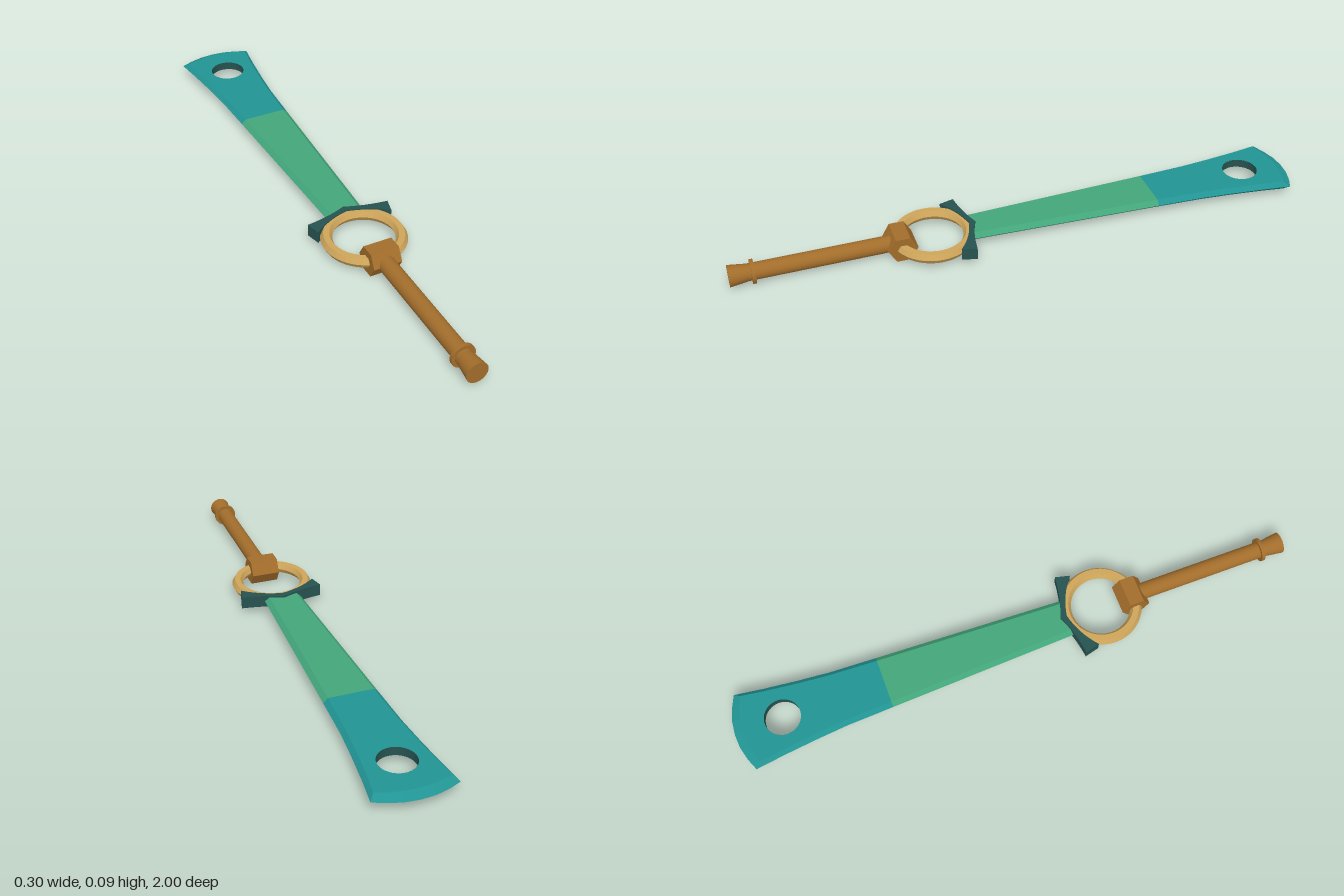
import * as THREE from 'three';

const MID = 0.043; // height of the weapon's centre plane

const mat = (name, color, extra = {}) => {
  const m = new THREE.MeshStandardMaterial({ color, ...extra });
  m.name = name;
  return m;
};

export function createModel() {
  const group = new THREE.Group();
  const green = mat('blade green', 0x42a57a);
  const teal = mat('blade teal', 0x219493);
  const dark = mat('dark teal', 0x26524f, { side: THREE.DoubleSide });
  const brown = mat('grip brown', 0xa26d2b);
  const gold = mat('ring gold', 0xcda45a, { flatShading: true });

  const add = (name, geometry, material, y = MID, z = 0) => {
    const mesh = new THREE.Mesh(geometry, material);
    mesh.name = name;
    mesh.position.set(0, y, z);
    group.add(mesh);
    return mesh;
  };

  // Blade section: flat faces above and below, bevelled to a sharp edge.
  // Each row is [edge x, edge s, flat x, flat s], where s runs towards -z.
  const H = 0.015;
  const bladePart = (name, rows, material, hole) => {
    const left = rows.filter(r => r[0] > 0).reverse().map(r => [-r[0], r[1], -r[2], r[3]]);
    const loop = [...rows, ...left];
    const shape = new THREE.Shape(loop.map(r => new THREE.Vector2(r[2], r[3])));
    if (hole) shape.holes.push(new THREE.Path().absarc(0, hole.s, hole.r, 0, Math.PI * 2, true));
    const flat = new THREE.ShapeGeometry(shape, 24).rotateX(-Math.PI / 2);
    add(name + 'Top', flat, material, MID + H);
    add(name + 'Bottom', flat.clone().scale(1, -1, 1), material, MID - H);
    const below = group.children[group.children.length - 1].geometry;
    const idx = below.index.array;
    for (let i = 0; i < idx.length; i += 3) [idx[i], idx[i + 1]] = [idx[i + 1], idx[i]];
    below.computeVertexNormals();

    const pos = [];
    for (let i = 0; i < loop.length - 1; i++) {
      for (const side of [1, -1]) {
        const outer = r => [r[0], 0, -r[1]];
        const inner = r => [r[2], side * H, -r[3]];
        const a = outer(loop[i]), b = outer(loop[i + 1]);
        const c = inner(loop[i + 1]), d = inner(loop[i]);
        pos.push(...(side > 0 ? [a, b, c, a, c, d] : [a, c, b, a, d, c]).flat());
      }
    }
    const bevel = new THREE.BufferGeometry();
    bevel.setAttribute('position', new THREE.Float32BufferAttribute(pos, 3));
    bevel.computeVertexNormals();
    add(name + 'Bevel', bevel, material);
  };

  bladePart('lowerBlade', [
    [0.066, -0.2, 0.05, -0.2],
    [0.093, 0.474, 0.077, 0.474],
  ], green);

  const hole = { s: 0.832, r: 0.062 };
  const tip = [
    [0.093, 0.474, 0.077, 0.474],
    [0.1, 0.64, 0.085, 0.64],
    [0.11, 0.75, 0.095, 0.75],
    [0.123, 0.865, 0.108, 0.86],
    [0.137, 0.965, 0.121, 0.945],
    [0.095, 0.983, 0.085, 0.957],
    [0.048, 0.996, 0.043, 0.966],
    [0, 1, 0, 0.969],
  ];
  bladePart('upperBlade', tip, teal, hole);
  add('holeWall', new THREE.CylinderGeometry(hole.r, hole.r, 2 * H, 40, 1, true), dark, MID, -hole.s);

  // Curved guard between blade and ring
  const g = new THREE.Shape();
  g.moveTo(0.148, -0.204);
  g.quadraticCurveTo(0.065, -0.195, 0, -0.167);
  g.quadraticCurveTo(-0.065, -0.195, -0.148, -0.204);
  g.lineTo(-0.135, -0.255);
  g.quadraticCurveTo(-0.075, -0.205, 0, -0.19);
  g.quadraticCurveTo(0.075, -0.205, 0.135, -0.255);
  g.closePath();
  const guard = new THREE.ExtrudeGeometry(g, { depth: 0.043, bevelEnabled: false, curveSegments: 8 });
  add('guard', guard.rotateX(-Math.PI / 2), dark, MID - 0.0215);

  // Six-sided ring
  add('ring', new THREE.TorusGeometry(0.123, 0.02, 6, 48).rotateX(Math.PI / 2), gold, MID, 0.317);

  // Hexagonal block joining ring and grip
  const block = new THREE.CylinderGeometry(0.05, 0.05, 0.1, 6).toNonIndexed();
  block.rotateZ(Math.PI / 2);
  block.computeVertexNormals();
  // turn so the flats face up and down and the corners point along z
  add('gripBlock', block, brown, MID, 0.43);

  // Round grip pieces along z: name, front radius, rear radius, z from, z to
  for (const [name, r1, r0, z0, z1] of [
    ['grip', 0.029, 0.029, 0.45, 0.935],
    ['collar', 0.041, 0.041, 0.915, 0.927],
    ['pommel', 0.037, 0.028, 0.93, 1],
  ]) {
    const geo = new THREE.CylinderGeometry(r1, r0, z1 - z0, 32).rotateX(Math.PI / 2);
    add(name, geo, brown, MID, (z0 + z1) / 2);
  }
  return group;
}
